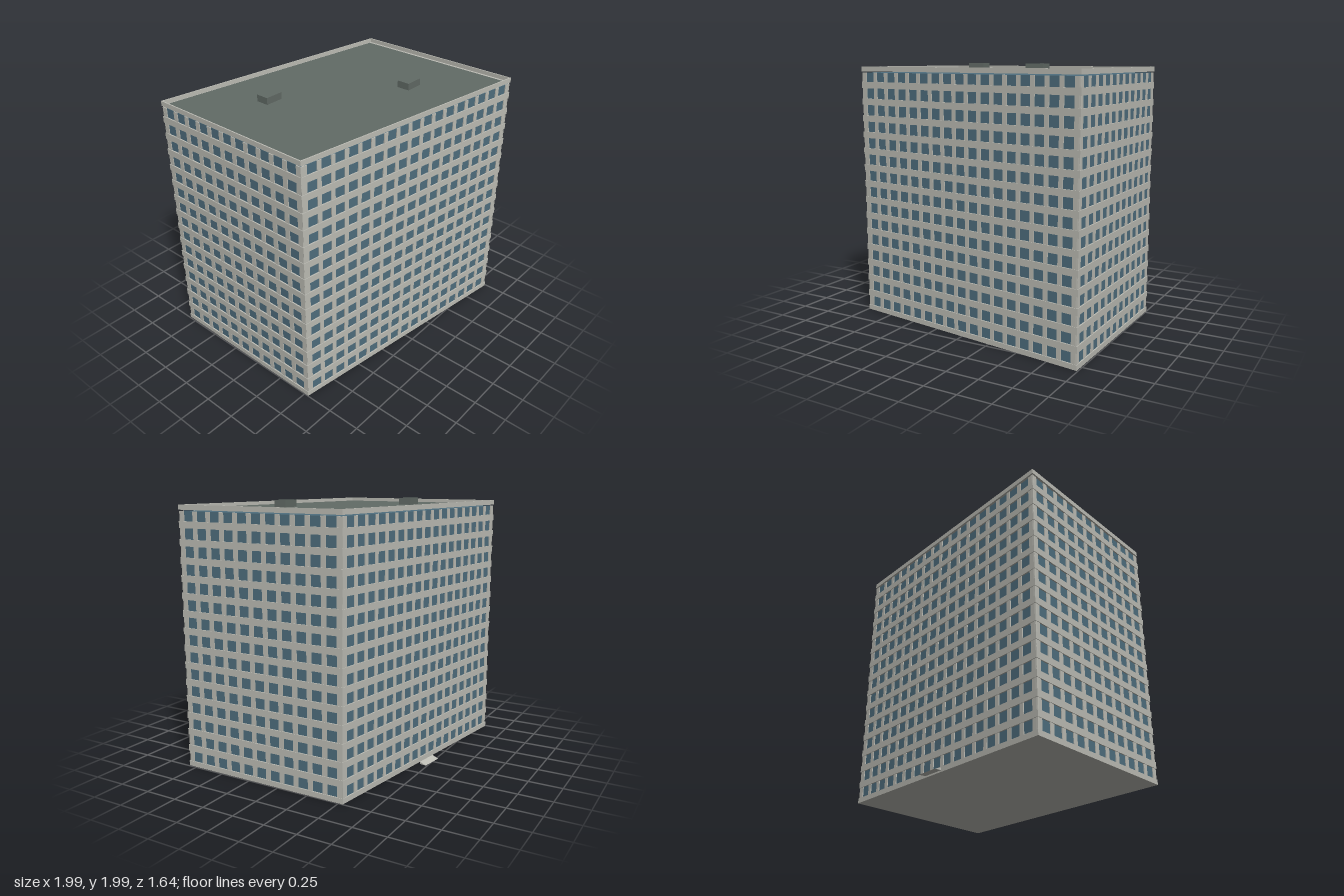
import * as THREE from 'three';

const mat = (name, color) => Object.assign(new THREE.MeshStandardMaterial({ color }), { name });

// Skewed footprint: half-edge vectors in (x, z) and half-distances between facing sides
const EX = [0.994, 0.143], EZ = [-0.003, 0.677];
const HALF_X = 0.994, HALF_Z = 0.67;

// Footprint corners moved inward by dx (ends) and dz (front and back)
function corners(dx, dz = dx) {
  const u = 1 - dx / HALF_X, v = 1 - dz / HALF_Z;
  return [[-u, v], [u, v], [u, -v], [-u, -v]].map(([a, b]) =>
    new THREE.Vector2(a * EX[0] + b * EZ[0], a * EX[1] + b * EZ[1]));
}

const flip = (p) => new THREE.Vector2(p.x, -p.y);

// Slab with the footprint outline between two heights, optionally hollow
function slab(name, material, y0, y1, dx, dz = dx, hole = null) {
  const shape = new THREE.Shape(corners(dx, dz).map(flip));
  if (hole) shape.holes.push(new THREE.Path(corners(hole).map(flip)));
  const geo = new THREE.ExtrudeGeometry(shape, { depth: y1 - y0, bevelEnabled: false });
  geo.rotateX(-Math.PI / 2).translate(0, y0, 0);
  const mesh = new THREE.Mesh(geo, material);
  mesh.name = name;
  return mesh;
}

export function createModel() {
  const wall = mat('concrete', 0xbdbdb5);
  const glass = mat('windowGlass', 0x4f6f7f);
  const roof = mat('roofing', 0x626b66);

  const model = new THREE.Group();
  model.name = 'towerBlock';

  const FLOORS = 15, PITCH = 0.129, FIRST = 0.078, WIN_H = 0.08, WIN_W = 0.08;
  const BODY_TOP = 1.925, TOP = 1.96;
  const PIER_IN = 0.004, GLASS_IN = 0.01;

  // Glass core showing through between bands and piers
  model.add(slab('windows', glass, 0.01, BODY_TOP - 0.01, GLASS_IN));

  // Floor bands, slightly proud of the piers
  for (let i = 0; i <= FLOORS; i++) {
    const y0 = i === 0 ? 0 : FIRST + (i - 1) * PITCH + WIN_H / 2;
    const y1 = i === FLOORS ? BODY_TOP + 0.005 : FIRST + i * PITCH - WIN_H / 2;
    model.add(slab('floorBand', wall, y0, y1, 0));
  }

  // Piers between the windows on each of the four sides
  const outline = corners(0);
  outline.forEach((a, s) => {
    const b = outline[(s + 1) % 4];
    const len = a.distanceTo(b);
    const count = s % 2 === 0 ? 17 : 11;
    const step = s % 2 === 0 ? 0.1142 : 0.1182;
    const side = new THREE.Group();
    side.name = ['frontPiers', 'leftPiers', 'backPiers', 'rightPiers'][s];
    side.position.set((a.x + b.x) / 2, 0, (a.y + b.y) / 2);
    side.rotation.y = -Math.atan2(b.y - a.y, b.x - a.x);
    for (let i = 0; i <= count; i++) {
      const mid = (i - count / 2) * step;
      const x0 = i === 0 ? -len / 2 + 0.005 : mid - (step - WIN_W) / 2;
      const x1 = i === count ? len / 2 - 0.005 : mid + (step - WIN_W) / 2;
      const pier = new THREE.Mesh(new THREE.BoxGeometry(x1 - x0, BODY_TOP - 0.02, 0.012), wall);
      pier.name = 'pier';
      pier.position.set((x0 + x1) / 2, BODY_TOP / 2, -PIER_IN - 0.006);
      side.add(pier);
    }
    model.add(side);
  });

  // Parapet rim and roof surface
  model.add(slab('parapet', wall, BODY_TOP, TOP, 0, 0, 0.009));
  model.add(slab('roofSurface', roof, BODY_TOP, BODY_TOP + 0.009, 0.037, 0.022));

  // Roof hatches
  for (const [x, z] of [[-0.44, -0.3], [0.415, 0.295]]) {
    const hatch = new THREE.Mesh(new THREE.BoxGeometry(0.142, 0.056, 0.1), roof);
    hatch.name = 'roofHatch';
    hatch.position.set(x, 1.957, z);
    model.add(hatch);
  }

  // Entrance ramp behind the building: a wedge falling away from the wall
  const wedge = new THREE.Shape([
    new THREE.Vector2(0, 0), new THREE.Vector2(0.052, 0), new THREE.Vector2(0, 0.018)]);
  const rampGeo = new THREE.ExtrudeGeometry(wedge, { depth: 0.18, bevelEnabled: false });
  rampGeo.translate(0, 0, -0.09).rotateY(Math.PI / 2);
  const ramp = new THREE.Mesh(rampGeo, wall);
  ramp.name = 'entranceRamp';
  ramp.position.set(0.005, 0, -0.7);
  ramp.rotation.y = -Math.atan2(EX[1], EX[0]);
  model.add(ramp);

  return model;
}
